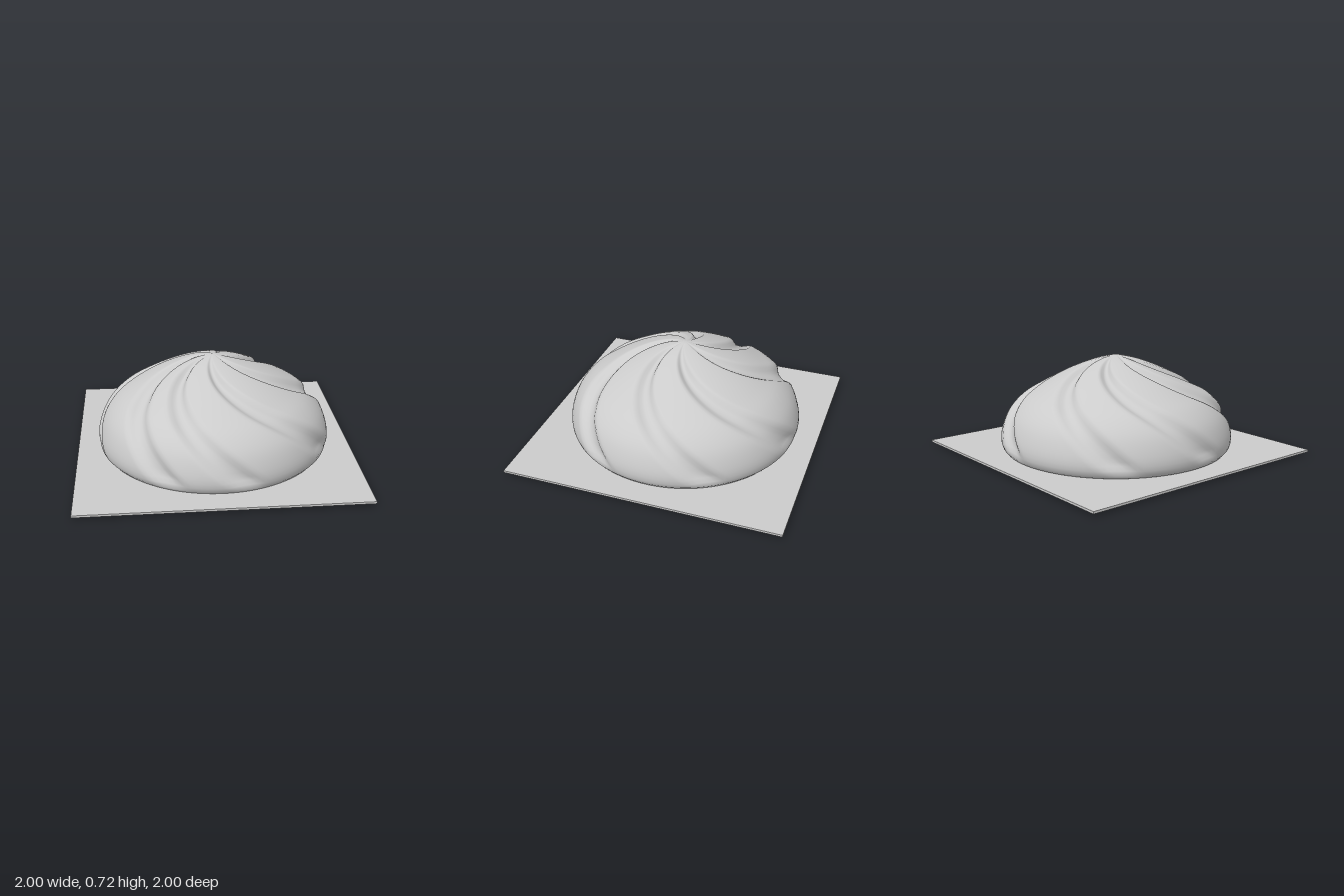
import * as THREE from 'three';
import { mergeVertices } from 'three/addons/utils/BufferGeometryUtils.js';

const { degToRad, smoothstep } = THREE.MathUtils;

// Half outline of the bun, from the middle of its base up to the tip
const OUTLINE = [
  [0, 0], [0.5, 0], [0.7, 0.005], [0.77, 0.02], [0.815, 0.035], [0.84, 0.065], [0.85, 0.12], [0.837, 0.2],
  [0.79, 0.31], [0.7, 0.41], [0.58, 0.487], [0.43, 0.57], [0.27, 0.642], [0.13, 0.692], [0, 0.722],
];
// Where each groove reaches the rim, in degrees round from the front
const GROOVES = [-130, -83, -28, 9, 62, 117, 170];
const TWIST = 76;       // degrees of swirl per unit along the outline
const HALF_WIDTH = 11;  // degrees
const DEPTH = 0.04;

// Trough shape across a groove: 1 on its floor, 0 outside
function trough(angle) {
  let sum = 0;
  for (const g of GROOVES) {
    const off = Math.abs(((angle - g + 540) % 360 + 360) % 360 - 180);
    sum = Math.max(sum, 1 - smoothstep(off, 2, HALF_WIDTH));
  }
  return sum;
}

function bunGeometry() {
  const curve = new THREE.CatmullRomCurve3(OUTLINE.map(([x, y]) => new THREE.Vector3(x, y, 0)));
  const rows = 64, segments = 144;
  const length = curve.getLength();
  const points = curve.getSpacedPoints(rows)
    .map((p) => new THREE.Vector2(Math.max(p.x, 0), Math.max(p.y, 0)));
  const geometry = new THREE.LatheGeometry(points, segments);
  const pos = geometry.attributes.position;

  // Press the swirling grooves inward along the outline's normal
  for (let i = 0; i < pos.count; i++) {
    const row = i % (rows + 1);
    const turn = (Math.floor(i / (rows + 1)) % segments) * 360 / segments;
    const s = length * (1 - row / rows);
    const fade = smoothstep(s, 0, 0.35) * (1 - smoothstep(s, 1.08, 1.18));
    if (fade === 0) continue;
    const a = points[Math.max(row - 1, 0)], b = points[Math.min(row + 1, rows)];
    const tangent = b.clone().sub(a).normalize();
    const d = DEPTH * fade * trough(turn + TWIST * (1.1 - s));
    const r = points[row].x - tangent.y * d;
    const phi = degToRad(turn);
    pos.setXYZ(i, r * Math.sin(phi), points[row].y + tangent.x * d, r * Math.cos(phi));
  }

  // Weld the seam so the shading runs smoothly round
  geometry.deleteAttribute('uv');
  geometry.deleteAttribute('normal');
  const welded = mergeVertices(geometry, 1e-5);
  welded.computeVertexNormals();
  return welded;
}

export function createModel() {
  const group = new THREE.Group();
  group.name = 'steamedBun';
  const material = new THREE.MeshStandardMaterial({ color: 0xcccccc });

  // Swirled bun, its base just below the paper
  const bun = new THREE.Mesh(bunGeometry(), material);
  bun.name = 'bun';

  // Square sheet of paper
  const paper = new THREE.Mesh(new THREE.BoxGeometry(2, 0.016, 2), material);
  paper.name = 'paperSheet';
  paper.position.y = 0.024;

  group.add(bun, paper);
  return group;
}
